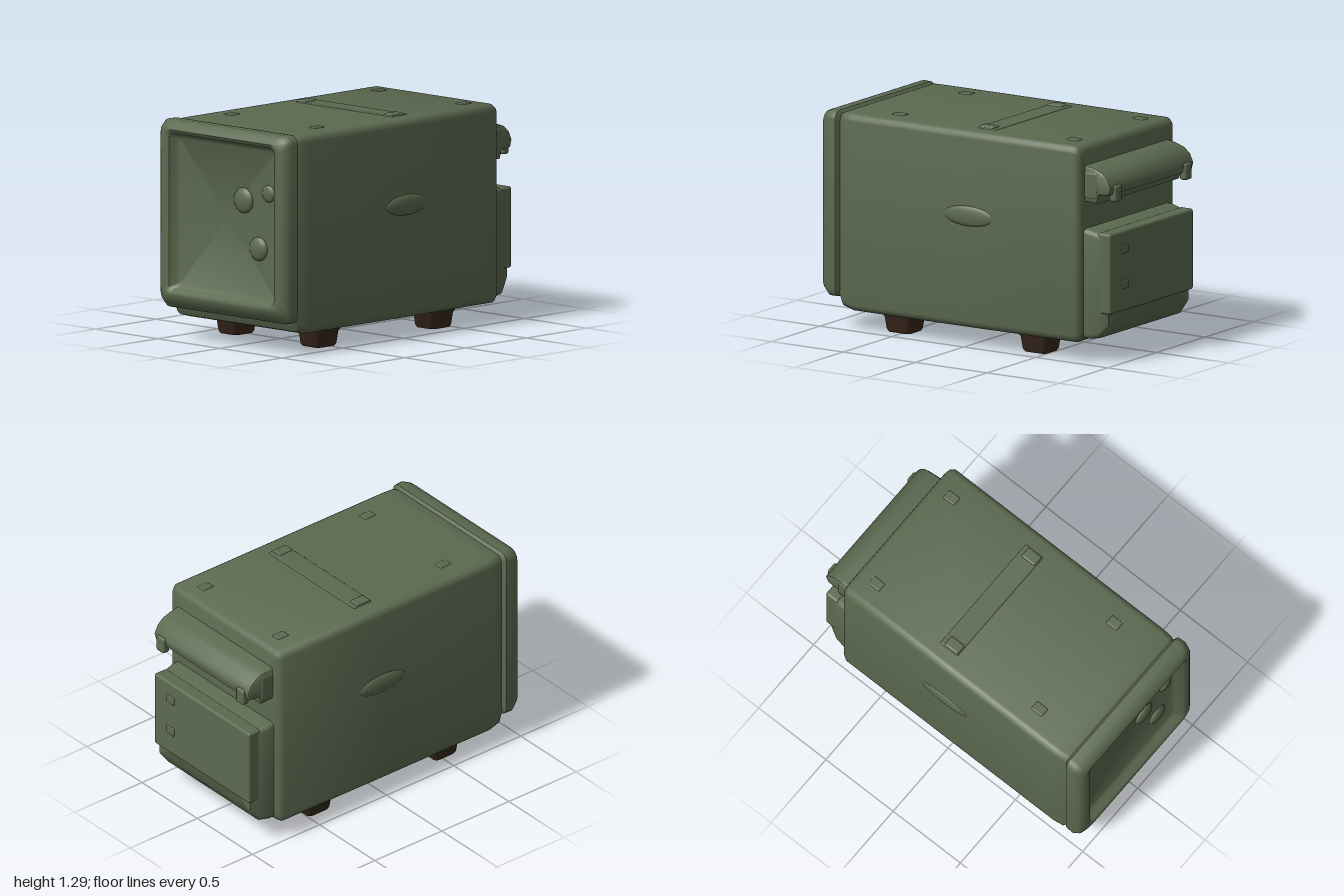
import * as THREE from 'three';
import { toCreasedNormals } from 'three/addons/utils/BufferGeometryUtils.js';
import { RoundedBoxGeometry } from 'three/addons/geometries/RoundedBoxGeometry.js';

// Skin through rounded rectangles; each ring is [z, x0, x1, y0, y1, radius]
function loft(rings, steps = 4) {
  const pos = [], idx = [], n = 4 * (steps + 1);
  for (const [z, x0, x1, y0, y1, r] of rings) {
    const corners = [[x1 - r, y1 - r], [x0 + r, y1 - r], [x0 + r, y0 + r], [x1 - r, y0 + r]];
    corners.forEach(([cx, cy], q) => {
      for (let k = 0; k <= steps; k++) {
        const a = (q + k / steps) * Math.PI / 2;
        pos.push(cx + r * Math.cos(a), cy + r * Math.sin(a), z);
      }
    });
  }
  const last = rings.length - 1;
  for (let i = 0; i < last; i++) for (let j = 0; j < n; j++) {
    const a = i * n + j, b = i * n + (j + 1) % n;
    idx.push(a, b, b + n, a, b + n, a + n);
  }
  // end caps
  for (const i of [0, last]) {
    const [z, x0, x1, y0, y1] = rings[i], c = pos.length / 3;
    pos.push((x0 + x1) / 2, (y0 + y1) / 2, z);
    for (let j = 0; j < n; j++) {
      const a = i * n + j, b = i * n + (j + 1) % n;
      if (i) idx.push(c, a, b); else idx.push(c, b, a);
    }
  }
  const g = new THREE.BufferGeometry();
  g.setAttribute('position', new THREE.Float32BufferAttribute(pos, 3));
  g.setIndex(idx);
  return toCreasedNormals(g, 0.75);
}

export function createModel() {
  const group = new THREE.Group();
  const green = new THREE.MeshStandardMaterial({ color: 0x5c6a50 });
  green.name = 'olive green';
  const brown = new THREE.MeshStandardMaterial({ color: 0x3a281d });
  brown.name = 'dark brown';

  const add = (name, geometry, material = green) => {
    const m = new THREE.Mesh(geometry, material);
    m.name = name;
    group.add(m);
    return m;
  };
  const pad = (name, w, h, d, x, y, z, r = 0.008) =>
    add(name, new RoundedBoxGeometry(w, h, d, 2, r)).position.set(x, y, z);

  // Main case, with softened ends
  add('case', loft([
    [-0.795, -0.46, 0.46, 0.16, 1.235, 0.03],
    [-0.785, -0.485, 0.485, 0.13, 1.26, 0.04],
    [-0.76, -0.5, 0.5, 0.115, 1.275, 0.045],
    [0, -0.5, 0.5, 0.112, 1.275, 0.045],
    [0.78, -0.5, 0.5, 0.112, 1.275, 0.045],
    [0.85, -0.495, 0.495, 0.13, 1.275, 0.045],
    [0.885, -0.48, 0.48, 0.19, 1.26, 0.05],
  ]));

  // Front surround with its sunken panel
  add('frontBezel', loft([
    [0.868, -0.49, 0.49, 0.2, 1.265, 0.05],
    [0.885, -0.51, 0.515, 0.185, 1.282, 0.05],
    [0.935, -0.512, 0.518, 0.185, 1.283, 0.05],
    [0.975, -0.5, 0.505, 0.215, 1.268, 0.06],
    [0.993, -0.475, 0.48, 0.25, 1.245, 0.06],
    [1.0, -0.45, 0.455, 0.27, 1.23, 0.05],
    [0.99, -0.42, 0.425, 0.292, 1.21, 0.03],
    [0.95, -0.4, 0.4, 0.31, 1.195, 0.02],
    [0.935, -0.38, 0.38, 0.33, 1.175, 0.02],
  ]));

  // Worn knobs on the front panel
  for (const [x, y, r] of [[0.13, 0.87, 0.075], [0.25, 0.6, 0.07], [0.33, 0.93, 0.05]]) {
    const knob = add('frontKnob', new THREE.SphereGeometry(r, 20, 12));
    knob.scale.z = 0.4;
    knob.position.set(x, y, 0.935);
  }

  // Hood over the rear vent, profile drawn as (distance back, height)
  const profile = new THREE.Shape([
    [0.76, 1.16], [0.85, 1.145], [0.91, 1.125], [0.95, 1.09], [0.972, 1.04], [0.96, 0.995],
    [0.92, 0.985], [0.89, 0.99], [0.875, 0.935], [0.76, 0.94],
  ].map(p => new THREE.Vector2(...p)));
  const hood = new THREE.ExtrudeGeometry(profile, {
    depth: 0.82, bevelThickness: 0.02, bevelSize: 0.012, bevelOffset: -0.012, bevelSegments: 2,
  });
  hood.translate(0, 0, -0.41).rotateY(Math.PI / 2);
  add('rearHood', toCreasedNormals(hood, 0.7));
  for (const s of [-1, 1]) {
    pad('hoodTab', 0.07, 0.1, 0.05, s * 0.36, 1.0, -0.96, 0.015);
    pad('hoodBracket', 0.04, 0.16, 0.1, s * 0.415, 1.04, -0.83, 0.015);
  }

  // Rear box with a sloping underside and a cover plate
  add('rearBox', loft([
    [-0.945, -0.41, 0.41, 0.22, 0.75, 0.02],
    [-0.885, -0.435, 0.435, 0.145, 0.765, 0.03],
    [-0.82, -0.445, 0.445, 0.135, 0.78, 0.03],
    [-0.76, -0.445, 0.445, 0.135, 0.785, 0.03],
  ]));
  pad('rearCover', 0.86, 0.475, 0.09, 0, 0.53, -0.924, 0.015);
  for (const y of [0.45, 0.66]) pad('coverLatch', 0.07, 0.05, 0.016, 0.28, y, -0.968, 0.006);

  // Raised strip and fittings on the roof
  pad('roofStrip', 0.78, 0.016, 0.13, 0, 1.273, -0.085);
  for (const s of [-1, 1]) {
    pad('roofStripEnd', 0.07, 0.03, 0.1, s * 0.35, 1.275, -0.075, 0.012);
    for (const z of [0.55, -0.66]) pad('roofFitting', 0.06, 0.016, 0.08, s * 0.34, 1.273, z);
    // Slight swell on each flank
    const swell = add('sideSwell', new THREE.SphereGeometry(1, 24, 12));
    swell.scale.set(0.02, 0.06, 0.17);
    swell.position.set(s * 0.497, 0.775, -0.03);
  }

  // Four tapered feet
  for (const s of [-1, 1]) for (const z of [0.525, -0.42]) {
    const foot = loft([
      [0, -0.07, 0.07, -0.075, 0.075, 0.025],
      [0.015, -0.078, 0.078, -0.085, 0.085, 0.028],
      [0.085, -0.085, 0.085, -0.095, 0.095, 0.03],
      [0.125, -0.1, 0.1, -0.12, 0.12, 0.03],
    ], 3);
    foot.rotateX(-Math.PI / 2);
    add('foot', foot, brown).position.set(s * 0.33, 0, z);
  }
  return group;
}
